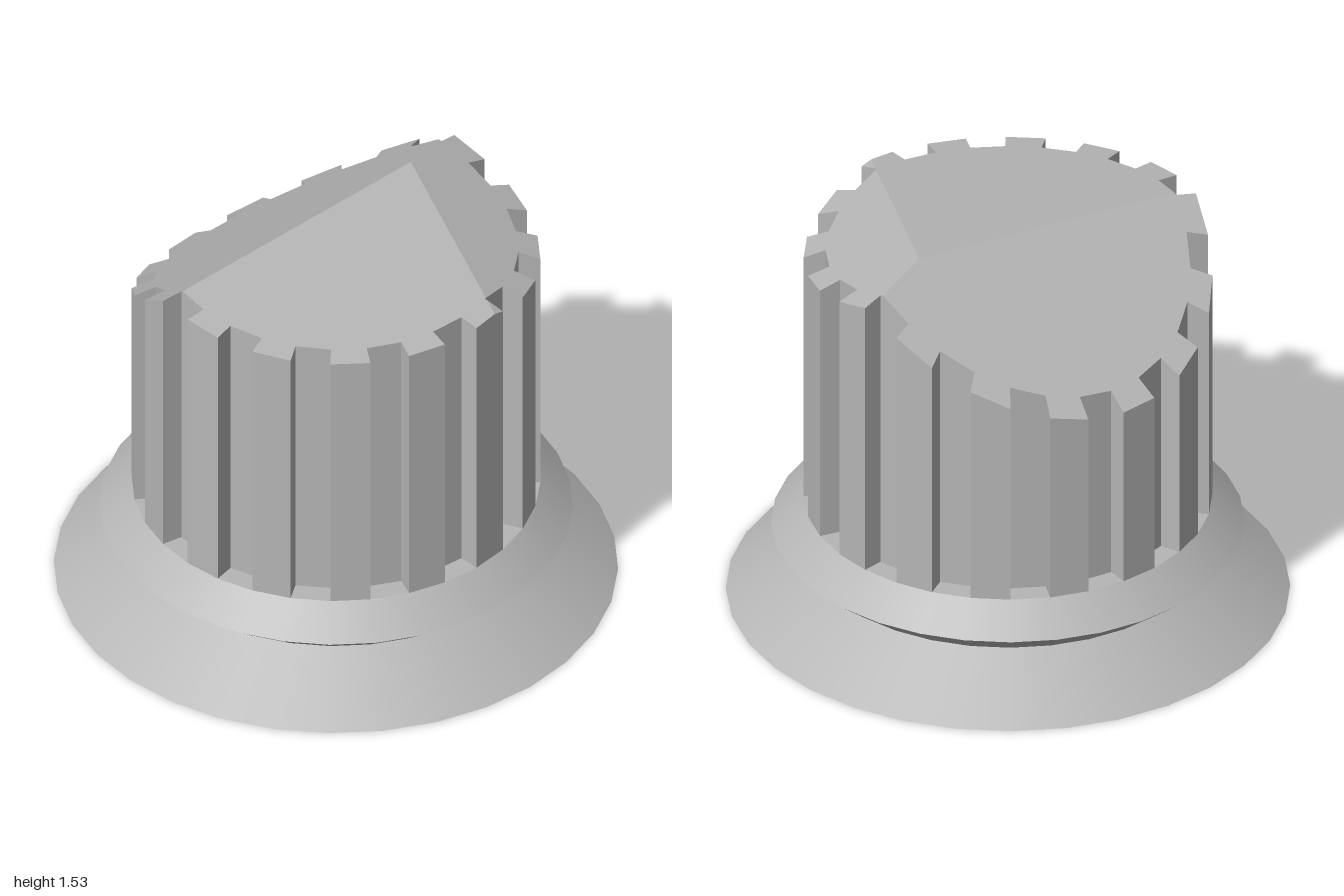
import * as THREE from 'three';

const SIDES = 32;
const LEDGE = 0.38;
// Sloped planes of the cut top: y = a + b*x + c*z; the lowest one wins
const PLANES = [
  [1.569, 0.442, 0.507],
  [1.504, -0.006, -0.102],
  [1.651, -0.388, 0.0121],
];
const planeY = (p, [x, z]) => p[0] + p[1] * x + p[2] * z;
const topY = (q) => Math.min(...PLANES.map((p) => planeY(p, q)));
const mix = (a, b, t) => [a[0] + (b[0] - a[0]) * t, a[1] + (b[1] - a[1]) * t];

// Keeps the part of a convex polygon where plane p is below plane o
function clip(poly, p, o) {
  const out = [];
  poly.forEach((a, i) => {
    const b = poly[(i + 1) % poly.length];
    const da = planeY(o, a) - planeY(p, a);
    const db = planeY(o, b) - planeY(p, b);
    if (da >= 0) out.push(a);
    if (da * db < 0) out.push(mix(a, b, da / (da - db)));
  });
  return out;
}

// Plan of the grip: 16 ridges with 16 notches between them
function gripOutline(outer, inner) {
  const pts = [];
  const half = Math.PI / SIDES;
  for (let k = 0; k < SIDES / 2; k++) {
    const mid = (k * 4 * Math.PI) / SIDES;
    for (const [r, a] of [[outer, -half], [outer, half], [inner, half], [inner, 3 * half]]) {
      pts.push([r * Math.sin(mid + a), r * Math.cos(mid + a)]);
    }
  }
  return pts;
}

function meshFromTriangles(pos, material, name) {
  const g = new THREE.BufferGeometry();
  g.setAttribute('position', new THREE.Float32BufferAttribute(pos, 3));
  g.computeVertexNormals();
  const mesh = new THREE.Mesh(g, material);
  mesh.name = name;
  return mesh;
}

export function createModel() {
  const group = new THREE.Group();
  group.name = 'knob';
  const grey = new THREE.MeshStandardMaterial({ color: 0xb6b6b6 });
  grey.name = 'grey plastic';

  // Skirt and collar: smooth conical bands with sharp rims
  const profile = [[1.005, 0], [0.732, 0.183], [0.844, 0.272], [0.728, LEDGE]];
  const names = ['skirt', 'collarUnderside', 'collarTop'];
  names.forEach((name, i) => {
    const [[r0, y0], [r1, y1]] = [profile[i], profile[i + 1]];
    const band = new THREE.Mesh(
      new THREE.CylinderGeometry(r1, r0, y1 - y0, SIDES, 1, true, Math.PI / SIDES), grey);
    band.position.y = (y0 + y1) / 2;
    band.name = name;
    group.add(band);
  });

  // Bottom disc and the ledge that floors the notches
  for (const [name, r, y, tilt] of [['bottom', 1.005, 0, 1], ['ledge', 0.728, LEDGE, -1]]) {
    const disc = new THREE.Mesh(new THREE.CircleGeometry(r, SIDES, Math.PI / SIDES), grey);
    disc.rotation.x = (tilt * Math.PI) / 2;
    disc.position.y = y;
    disc.name = name;
    group.add(disc);
  }

  // Ridged grip walls and the faceted top
  const outline = gripOutline(0.728, 0.65);
  const walls = [];
  const cap = [];
  outline.forEach((a, i) => {
    const b = outline[(i + 1) % outline.length];

    // Split the wall wherever two top planes cross above it
    const cuts = [0, 1];
    PLANES.forEach((p, m) => PLANES.slice(m + 1).forEach((o) => {
      const da = planeY(o, a) - planeY(p, a);
      const db = planeY(o, b) - planeY(p, b);
      if (da * db < 0) cuts.push(da / (da - db));
    }));
    cuts.sort((s, t) => s - t);
    for (let k = 0; k + 1 < cuts.length; k++) {
      const s = mix(a, b, cuts[k]);
      const t = mix(a, b, cuts[k + 1]);
      const s0 = [s[0], LEDGE, s[1]], s1 = [s[0], topY(s), s[1]];
      const t0 = [t[0], LEDGE, t[1]], t1 = [t[0], topY(t), t[1]];
      walls.push(...s0, ...t0, ...t1, ...s0, ...t1, ...s1);
    }

    // Top wedge from the centre, shared out among the planes
    if (Math.abs(a[0] * b[1] - a[1] * b[0]) < 1e-6) return;
    PLANES.forEach((p) => {
      let poly = [[0, 0], a, b];
      PLANES.forEach((o) => { if (o !== p) poly = clip(poly, p, o); });
      for (let k = 1; k + 1 < poly.length; k++) {
        for (const q of [poly[0], poly[k], poly[k + 1]]) cap.push(q[0], planeY(p, q), q[1]);
      }
    });
  });
  group.add(meshFromTriangles(walls, grey, 'gripWalls'));
  group.add(meshFromTriangles(cap, grey, 'gripTop'));
  return group;
}
